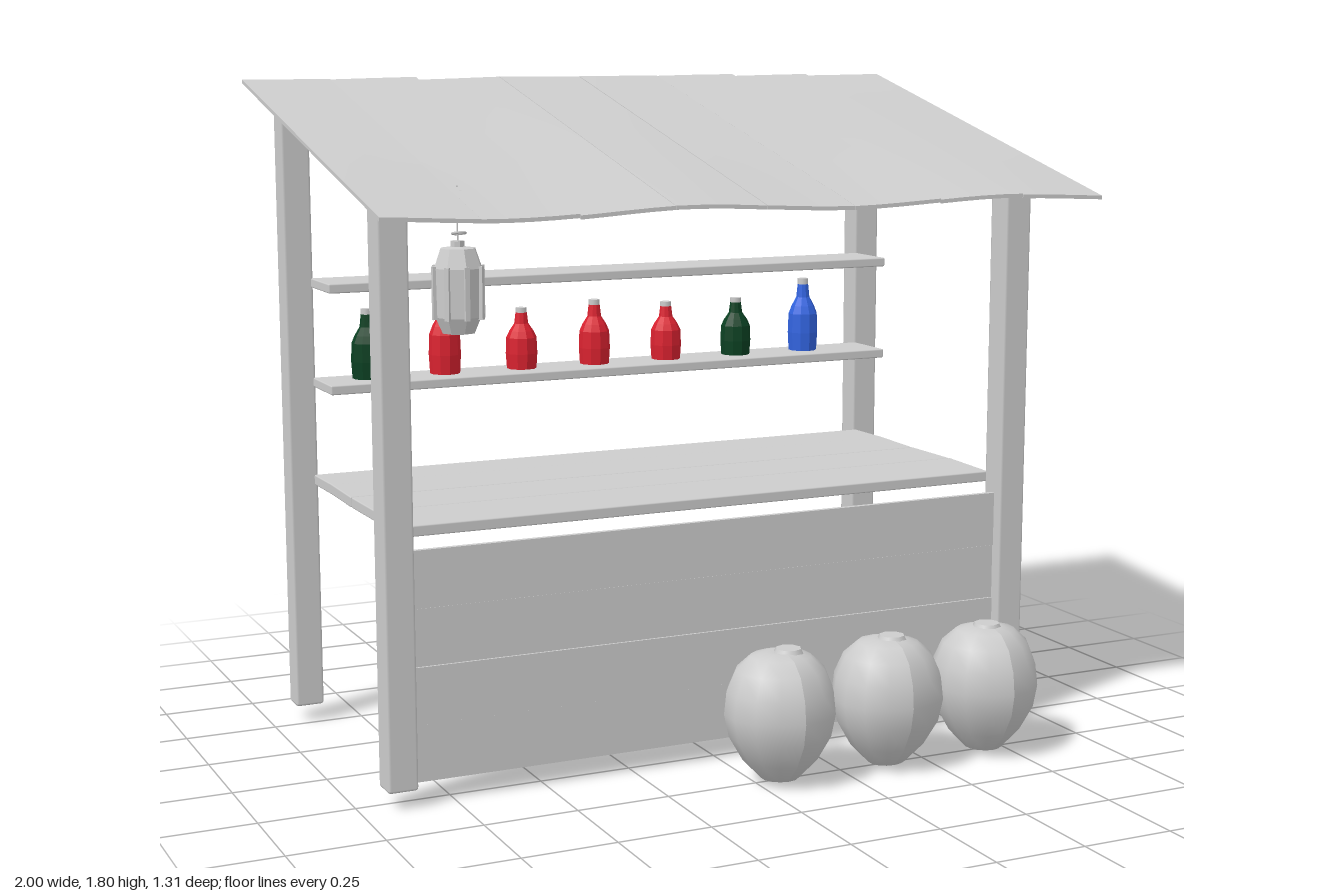
import * as THREE from 'three';
import { RoundedBoxGeometry } from 'three/addons/geometries/RoundedBoxGeometry.js';

const material = (name, color) => {
  const m = new THREE.MeshStandardMaterial({ color });
  m.name = name;
  return m;
};

export function createModel() {
  const group = new THREE.Group();
  group.name = 'marketStall';
  const grey = material('paleGrey', 0xcccccc);
  const red = material('redGlass', 0xdb2230);
  const green = material('greenGlass', 0x0b4022);
  const blue = material('blueGlass', 0x3264e0);

  const add = (name, geometry, mat, x, y, z, parent = group) => {
    const mesh = new THREE.Mesh(geometry, mat);
    mesh.name = name;
    mesh.position.set(x, y, z);
    parent.add(mesh);
    return mesh;
  };
  const lathe = (points, sides) =>
    new THREE.LatheGeometry(points.map(([r, y]) => new THREE.Vector2(r, y)), sides);
  // Flat facets for turned parts
  const faceted = (points, sides) => {
    const g = lathe(points, sides).toNonIndexed();
    g.computeVertexNormals();
    return g;
  };

  // Four corner posts, the back pair taller
  for (const side of [-1, 1]) {
    const x = side * 0.893;
    add('frontPost', new RoundedBoxGeometry(0.08, 1.47, 0.08, 1, 0.008), grey, x, 0.785, 0.275);
    add('backPost', new RoundedBoxGeometry(0.08, 1.71, 0.072, 1, 0.008), grey, x, 0.905, -0.55);
  }

  // Sloping roof of eight thin, slightly warped boards
  const tilt = [0, -0.004, 0.005, 0.003, -0.002, 0.004, -0.003, 0.002];
  tilt.forEach((t, i) => {
    const cx = -0.875 + i * 0.25;
    const g = new THREE.BoxGeometry(0.249, 0.01, 1.195, 4, 1, 6);
    const p = g.attributes.position;
    for (let k = 0; k < p.count; k++) {
      const x = p.getX(k) + cx;
      const z = p.getZ(k) - 0.0525;
      const u = (z + 0.65) / 1.195; // 0 at the back, 1 at the front
      const wave = 0.008 * u * Math.cos(7 * (x + 0.2)) + t * (1 - u * 0.5) * Math.sin(i + x * 6);
      p.setY(k, p.getY(k) + 1.794 - 0.296 * u + wave);
      p.setZ(k, z);
    }
    g.computeVertexNormals();
    add('roofBoard', g, grey, cx, 0, 0);
  });

  // Counter boards with hairline gaps
  for (let i = 0; i < 4; i++) {
    const b = add('counterBoard', new RoundedBoxGeometry(1.73, 0.029, 0.199, 1, 0.004),
      grey, 0, 0.699, 0.135 - i * 0.205);
    b.rotation.x = [0.02, -0.01, 0.015, -0.015][i];
    b.scale.z = i === 3 ? 0.87 : 1;
    if (i === 3) b.position.z = -0.427;
  }

  // Front panel boards
  for (let i = 0; i < 4; i++) {
    add('panelBoard', new THREE.BoxGeometry(1.73, 0.149, 0.014), grey,
      0, 0.135 + i * 0.15, 0.275 + (i % 2) * 0.003);
  }

  // Two back shelves
  for (const y of [0.972, 1.248]) {
    add('shelf', new RoundedBoxGeometry(1.72, 0.026, 0.172, 1, 0.004), grey, 0, y, -0.431);
  }

  // Bottles: x, height, glass
  const bottles = [
    [-0.725, 0.193, green], [-0.5, 0.215, red], [-0.27, 0.173, red], [-0.045, 0.185, red],
    [0.182, 0.168, red], [0.41, 0.168, green], [0.636, 0.215, blue],
  ];
  for (const [x, h, glass] of bottles) {
    const bottle = new THREE.Group();
    bottle.name = 'bottle';
    bottle.position.set(x, 0.985, -0.445);
    const profile = [[0, 0], [0.042, 0], [0.045, h * 0.25], [0.043, h * 0.51], [0.034, h * 0.62],
      [0.02, h * 0.74], [0.016, h * 0.92], [0, h * 0.92]];
    add('bottleGlass', faceted(profile, 10), glass, 0, 0, 0, bottle);
    add('bottleCap', new THREE.CylinderGeometry(0.016, 0.016, h * 0.08, 10), grey, 0, h * 0.96, 0, bottle);
    group.add(bottle);
  }

  // Hanging ribbed lantern with its chain
  const lantern = new THREE.Group();
  lantern.name = 'lantern';
  lantern.position.set(-0.725, 1.2, 0.305);
  add('lanternBody', faceted([[0, 0], [0.042, 0], [0.06, 0.04], [0.062, 0.16], [0.045, 0.208],
    [0.018, 0.212], [0.018, 0.226], [0, 0.226]], 8), grey, 0, 0, 0, lantern);
  for (let i = 0; i < 8; i++) {
    const a = (i / 8) * Math.PI * 2;
    add('lanternRib', new THREE.BoxGeometry(0.012, 0.13, 0.012), grey,
      Math.sin(a) * 0.061, 0.1, Math.cos(a) * 0.061, lantern).rotation.y = a;
  }
  for (let i = 0; i < 4; i++) {
    add('chainLink', new THREE.TorusGeometry(0.018, 0.003, 4, 8), grey,
      0, 0.245 + i * 0.033, 0.01, lantern).rotation.set(Math.PI / 2 - 0.2, 0, 0);
  }
  add('lanternCord', new THREE.CylinderGeometry(0.002, 0.002, 0.14, 4), grey, 0, 0.29, 0, lantern);
  group.add(lantern);

  // Three round fruits in front, each turned and shaped a little differently
  const fruitShape = [[0, 0.005], [0.05, 0.018], [0.1, 0.07], [0.137, 0.135], [0.149, 0.195],
    [0.142, 0.255], [0.118, 0.31], [0.08, 0.344], [0.04, 0.354], [0, 0.35]];
  [[0.062, 0], [0.38, 1.3], [0.685, 2.7]].forEach(([x, turn], i) => {
    const fruit = new THREE.Group();
    fruit.name = 'fruit';
    fruit.position.set(x, 0, 0.515);
    const g = lathe(fruitShape, 14);
    const p = g.attributes.position;
    for (let k = 0; k < p.count; k++) {
      const a = Math.atan2(p.getX(k), p.getZ(k)) + turn;
      const s = 1 + 0.02 * Math.sin(3 * a) + 0.015 * Math.cos(2 * a + p.getY(k) * 8);
      p.setX(k, p.getX(k) * s);
      p.setZ(k, p.getZ(k) * s * 0.95);
    }
    g.computeVertexNormals();
    add('fruitBody', g, grey, 0, 0, 0, fruit);
    add('fruitStem', new THREE.CylinderGeometry(0.034, 0.042, 0.016, 8), grey,
      0.02 - i * 0.01, 0.354, 0.005, fruit);
    group.add(fruit);
  });

  return group;
}
